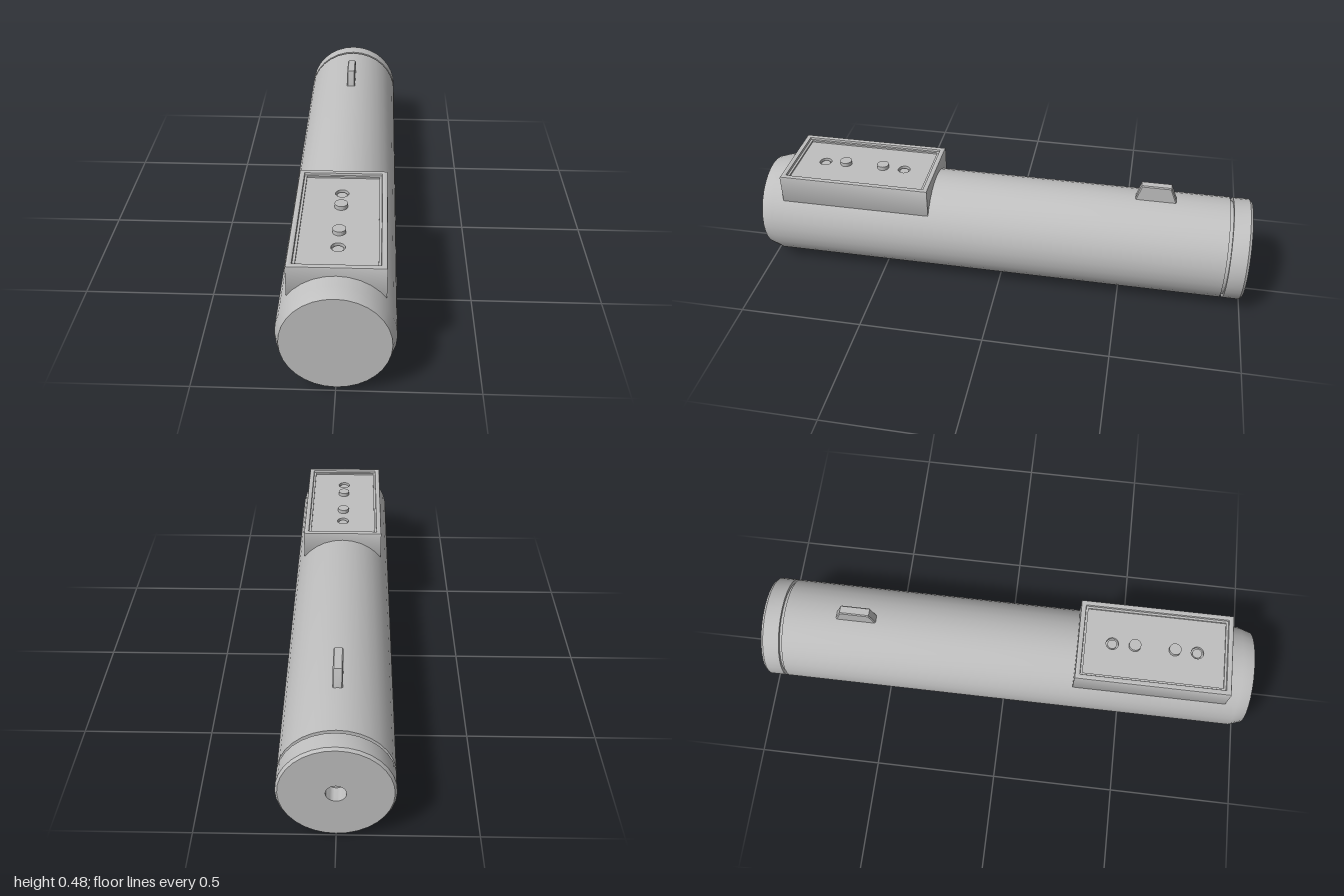
import * as THREE from 'three';
import { toCreasedNormals } from 'three/addons/utils/BufferGeometryUtils.js';

const RADIUS = 0.206;
const CREASE = 0.45;

export function createModel() {
  const group = new THREE.Group();
  const grey = new THREE.MeshStandardMaterial({ color: 0xbfbfbf });
  grey.name = 'grey';

  const add = (name, geometry, x = 0, y = 0, z = 0) => {
    const mesh = new THREE.Mesh(toCreasedNormals(geometry, CREASE), grey);
    mesh.name = name;
    mesh.position.set(x, y, z);
    group.add(mesh);
    return mesh;
  };

  // Rectangle outline centred on the origin
  const rectangle = (halfW, halfL, Type = THREE.Shape) => new Type([
    [-halfW, -halfL], [halfW, -halfL], [halfW, halfL], [-halfW, halfL],
  ].map(([x, y]) => new THREE.Vector2(x, y)));

  // Extrude a plan shape upward, with an optional bevel kept inside its outline
  const slab = (shape, height, bevel = 0) => new THREE.ExtrudeGeometry(shape, {
    depth: height - 2 * bevel, bevelEnabled: bevel > 0, bevelSize: bevel,
    bevelThickness: bevel, bevelOffset: -bevel, bevelSegments: 2, curveSegments: 24,
  }).translate(0, 0, bevel).rotateX(-Math.PI / 2);

  // Tube body: rear socket, end cap, groove and chamfered front
  const profile = [
    [0, -0.94], [0.036, -0.94], [0.036, -1], [0.198, -1], [RADIUS, -0.99],
    [RADIUS, -0.925], [0.192, -0.925], [0.192, -0.912], [RADIUS, -0.912],
    [RADIUS, 0.95], [0.19, 1], [0, 1],
  ].map(([r, z]) => new THREE.Vector2(r, z));
  add('tubeBody', new THREE.LatheGeometry(profile, 32).rotateX(Math.PI / 2), 0, 0.207, 0);

  // Control box: bevelled outer frame, inner step and a drilled floor
  const boxZ = 0.593;
  const frame = rectangle(0.168, 0.308);
  frame.holes.push(rectangle(0.147, 0.287, THREE.Path));
  add('boxFrame', slab(frame, 0.122, 0.005), 0, 0.325, boxZ);

  const step = rectangle(0.15, 0.29);
  step.holes.push(rectangle(0.138, 0.278, THREE.Path));
  add('boxStep', slab(step, 0.107), 0, 0.33, boxZ);

  const screwOffsets = [-0.17, 0.17];
  const floor = rectangle(0.14, 0.28);
  for (const offset of screwOffsets) {
    floor.holes.push(new THREE.Path().absarc(0, offset, 0.025, 0, Math.PI * 2, true));
  }
  add('boxFloor', slab(floor, 0.1), 0, 0.33, boxZ);

  // Recessed screws
  for (const offset of screwOffsets) {
    const head = new THREE.CylinderGeometry(0.019, 0.019, 0.01, 24);
    add('screwHead', head, 0, 0.418, boxZ + offset);
    add('screwSeat', new THREE.CylinderGeometry(0.026, 0.026, 0.01, 24), 0, 0.412, boxZ + offset);
  }

  // Round buttons
  for (const offset of [-0.08, 0.08]) {
    add('button', new THREE.CylinderGeometry(0.024, 0.024, 0.02, 24), 0, 0.436, boxZ + offset);
  }

  // Tapered fin on top of the rear, profile drawn along z
  const fin = new THREE.Shape([
    [-0.7, 0.4], [-0.535, 0.4], [-0.537, 0.418], [-0.556, 0.478], [-0.674, 0.478], [-0.698, 0.418],
  ].map(([z, y]) => new THREE.Vector2(-z, y)).reverse());
  const finGeometry = new THREE.ExtrudeGeometry(fin, {
    depth: 0.028, bevelEnabled: true, bevelSize: 0.004, bevelThickness: 0.004,
    bevelOffset: -0.004, bevelSegments: 1,
  }).translate(0, 0, -0.014).rotateY(Math.PI / 2);
  add('fin', finGeometry);

  return group;
}
